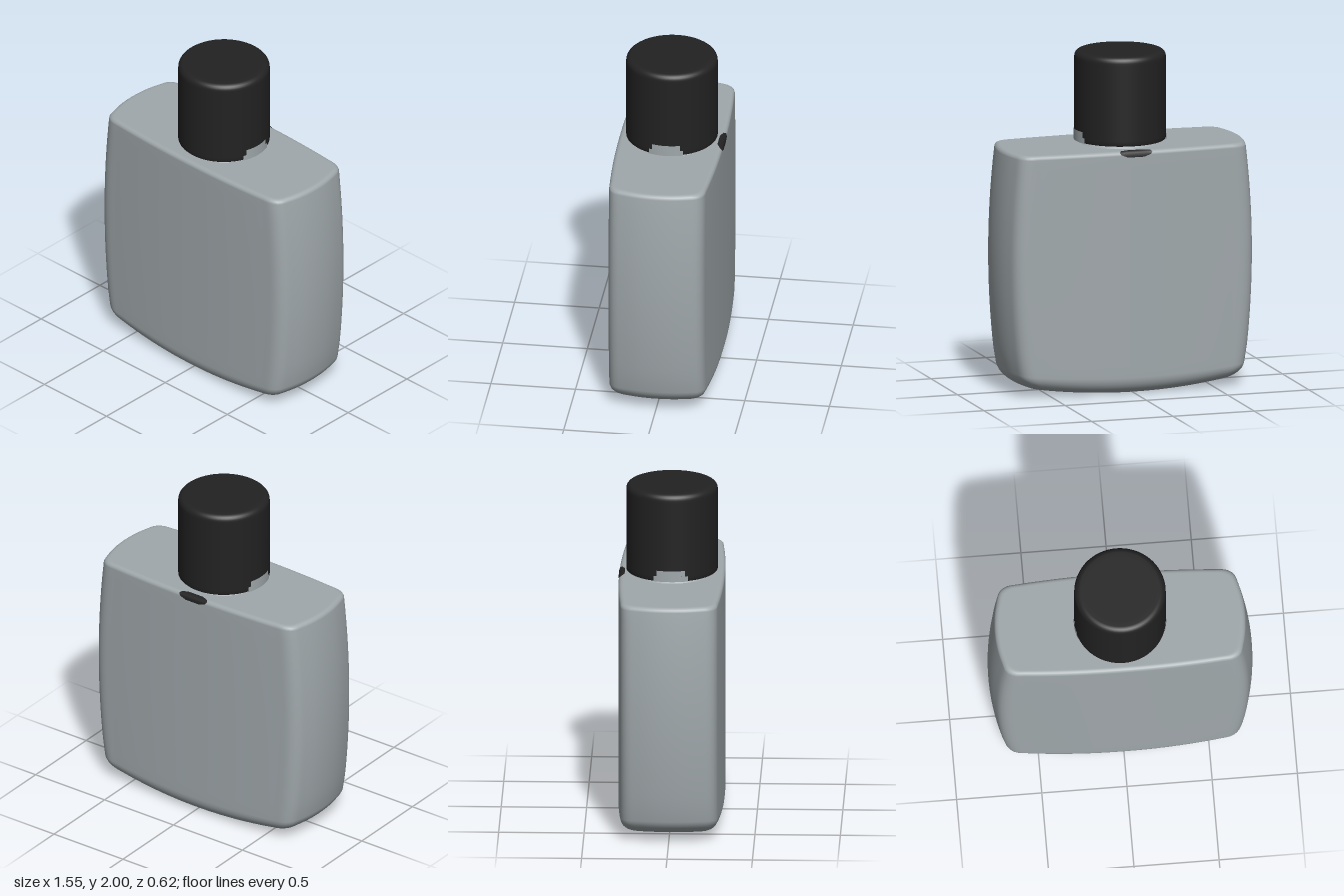
import * as THREE from 'three';

const glass = new THREE.MeshStandardMaterial({ color: 0xa0a8ab });
glass.name = 'grey glass';
const black = new THREE.MeshStandardMaterial({ color: 0x222222, side: THREE.DoubleSide });
black.name = 'black cap';

// Plan outline of the bottle: one quarter, mirrored into a closed smooth curve
function planOutline(count) {
  const q = [[0.775, 0], [0.768, 0.1], [0.748, 0.19], [0.726, 0.25], [0.685, 0.278],
    [0.6, 0.288], [0.3, 0.305], [0, 0.31]];
  const half = [...q, ...q.slice(0, -1).reverse().map(([x, z]) => [-x, z])];
  const all = [...half, ...half.slice(1, -1).reverse().map(([x, z]) => [x, -z])];
  const curve = new THREE.CatmullRomCurve3(all.map(([x, z]) => new THREE.Vector3(x, 0, z)), true);
  return curve.getSpacedPoints(count).slice(0, count);
}

// Bottle body: rings of the plan outline, bulging sideways, with a bowed base
function bottleGeometry() {
  const n = 160, outline = planOutline(n);
  const rings = []; // [height, inset, scale]
  for (const s of [0, 0.25, 0.5, 0.75, 0.95]) rings.push([0, 0.09, s]);
  for (let i = 0; i <= 8; i++) {
    const a = (i / 8) * Math.PI / 2;
    rings.push([0.1 * (1 - Math.cos(a)), 0.09 * (1 - Math.sin(a)), 1]);
  }
  for (let i = 1; i <= 20; i++) rings.push([0.1 + 1.325 * i / 20, 0, 1]);
  for (let i = 1; i <= 5; i++) {
    const a = (i / 5) * Math.PI / 2;
    rings.push([1.425 + 0.025 * Math.sin(a), 0.025 * (1 - Math.cos(a)), 1]);
  }
  for (const s of [0.98, 0.5, 0]) rings.push([1.45, 0.025, s]);

  const pos = [], idx = [];
  rings.forEach(([y, inset, s], r) => {
    const bulge = 1 - 0.055 * ((y - 0.8) / 0.65) ** 2;
    for (const p of outline) {
      const x = p.x * bulge * (1 - inset / 0.775) * s;
      const z = p.z * (1 - inset / 0.31) * s;
      const bow = 0.055 * (x / 0.65) ** 2 * Math.max(0, 1 - y / 0.25);
      pos.push(x, y + bow, z);
    }
    if (r === 0) return;
    for (let i = 0; i < n; i++) {
      const j = (i + 1) % n, a = (r - 1) * n, b = r * n;
      if (rings[r - 1][2] > 0) idx.push(a + i, b + j, a + j);
      if (s > 0) idx.push(a + i, b + i, b + j);
    }
  });
  const g = new THREE.BufferGeometry();
  g.setAttribute('position', new THREE.Float32BufferAttribute(pos, 3));
  g.setIndex(idx);
  g.computeVertexNormals();
  return g;
}

// Cap with a rounded top edge
function capGeometry() {
  const pts = [[0, 1.47], [0.262, 1.47], [0.262, 1.47], [0.268, 1.476], [0.268, 1.5], [0.268, 1.95]];
  for (let i = 0; i <= 6; i++) {
    const a = (i / 6) * Math.PI / 2;
    pts.push([0.232 + 0.036 * Math.cos(a), 1.964 + 0.036 * Math.sin(a)]);
  }
  pts.push([0.2, 2], [0, 2]);
  return new THREE.LatheGeometry(pts.map(([x, y]) => new THREE.Vector2(x, y)), 64);
}

// Dark mark wrapped over the rear top edge
function rearMarkGeometry() {
  const path = [[1.415, -0.312, 0.05], [1.43, -0.312, 0.09], [1.443, -0.307, 0.1],
    [1.452, -0.292, 0.09], [1.452, -0.276, 0.05]];
  const g = new THREE.PlaneGeometry(2, 1, 6, path.length - 1);
  const p = g.attributes.position;
  for (let i = 0; i < p.count; i++) {
    const [y, z, w] = path[Math.floor(i / 7)];
    p.setXYZ(i, p.getX(i) * w, y, z);
  }
  g.computeVertexNormals();
  return g;
}

export function createModel() {
  const model = new THREE.Group();
  model.name = 'bottle';
  const add = (name, geometry, material, y = 0) => {
    const m = new THREE.Mesh(geometry, material);
    m.name = name;
    m.position.y = y;
    model.add(m);
  };

  add('body', bottleGeometry(), glass);
  add('neck', new THREE.CylinderGeometry(0.21, 0.24, 0.03, 64), glass, 1.46);
  add('neckMark', new THREE.CylinderGeometry(0.226, 0.236, 0.015, 16, 1, true, -0.42, 0.9), black, 1.463);
  add('cap', capGeometry(), black);

  // Pale patches on both sides of the cap's lower rim
  for (const side of [1, -1]) {
    const mid = side * Math.PI / 2;
    for (const [y, h, a] of [[1.486, 0.032, 0.38], [1.519, 0.034, 0.31]]) {
      add('capPatch', new THREE.CylinderGeometry(0.271, 0.271, h, 16, 1, true, mid - a, 2 * a), glass, y);
    }
  }
  add('rearMark', rearMarkGeometry(), black);
  return model;
}
